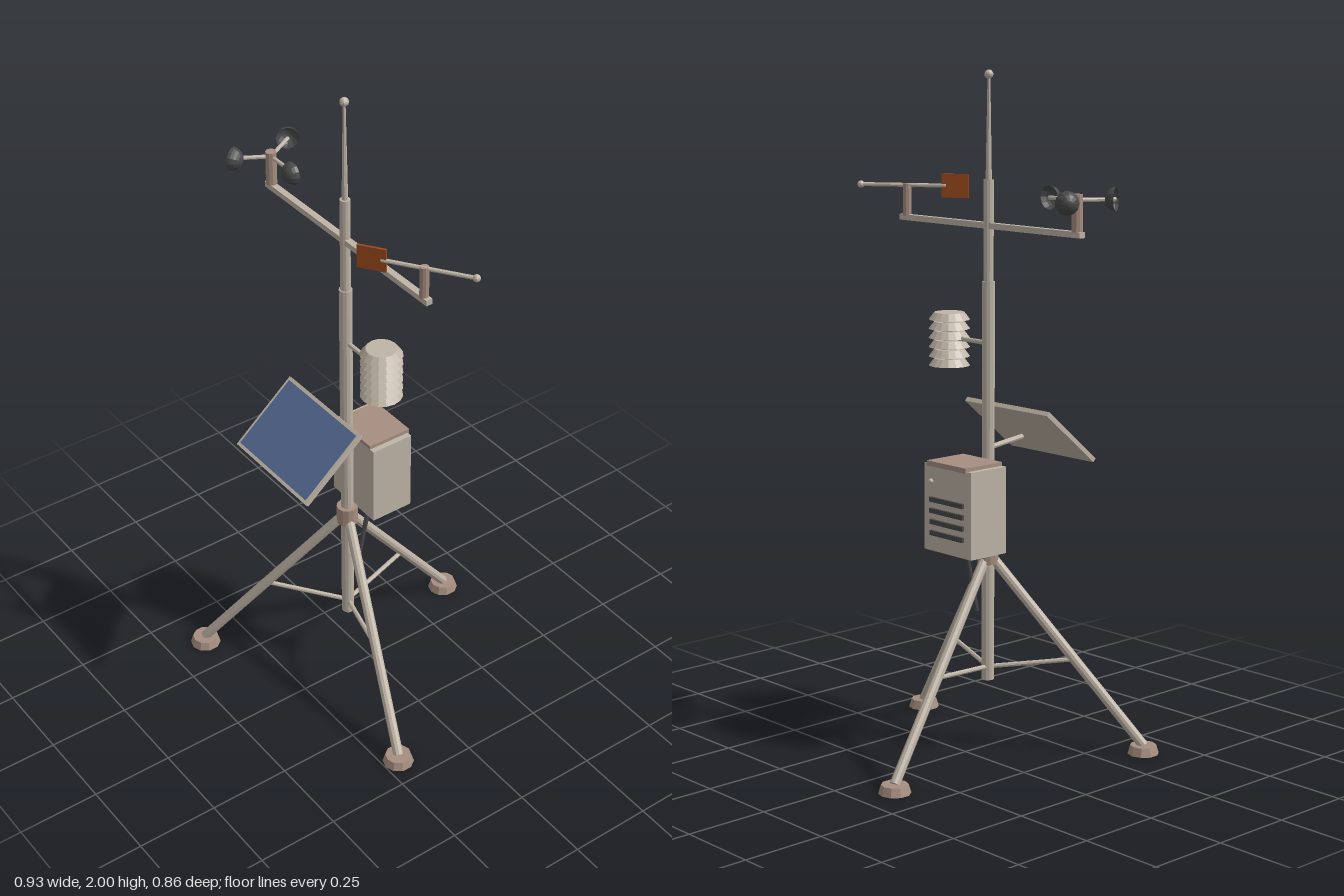
import * as THREE from 'three';

const mat = (name, color, side = THREE.FrontSide) =>
  new THREE.MeshStandardMaterial({ name, color, side, flatShading: true });

export function createModel() {
  const metal = mat('paleMetal', 0xbfb4a6);
  const brown = mat('brownFitting', 0xa68e80);
  const dark = mat('darkPlastic', 0x48484a, THREE.DoubleSide);
  const blue = mat('solarBlue', 0x526890);
  const rust = mat('vaneOrange', 0xa04c1e);

  const model = new THREE.Group();
  model.name = 'weatherStation';
  const MX = -0.025, MZ = 0.067; // mast axis
  const V = (x, y, z) => new THREE.Vector3(x, y, z);

  function add(name, geo, material, pos, parent = model) {
    const m = new THREE.Mesh(geo, material);
    m.name = name;
    if (pos) m.position.copy(pos);
    parent.add(m);
    return m;
  }
  // Tapered round bar between two points
  function rod(name, a, b, r0, r1, material, sides = 10, parent = model) {
    const d = b.clone().sub(a);
    const m = add(name, new THREE.CylinderGeometry(r1, r0, d.length(), sides), material,
      a.clone().add(b).multiplyScalar(0.5), parent);
    m.quaternion.setFromUnitVectors(V(0, 1, 0), d.normalize());
    return m;
  }
  const box = (name, w, h, d, material, pos, parent) =>
    add(name, new THREE.BoxGeometry(w, h, d), material, pos, parent);
  const ball = (name, r, material, pos, parent) =>
    add(name, new THREE.SphereGeometry(r, 10, 8), material, pos, parent);

  // Mast, collar and antenna
  rod('lowerMast', V(MX, 0.217, MZ), V(MX, 1.4, MZ), 0.019, 0.019, metal, 12);
  rod('upperMast', V(MX, 1.4, MZ), V(MX, 1.69, MZ), 0.015, 0.015, metal, 12);
  rod('antenna', V(MX, 1.69, MZ), V(MX, 1.985, MZ), 0.009, 0.004, metal, 8);
  ball('antennaTip', 0.013, metal, V(MX, 1.987, MZ));
  rod('collar', V(MX, 0.57, MZ), V(MX, 0.628, MZ), 0.032, 0.032, brown, 12);

  // Tripod legs, feet and braces
  for (const [fx, fz] of [[-0.128, -0.386], [0.415, 0.202], [-0.364, 0.38]]) {
    const foot = V(fx, 0.025, fz);
    const top = V(MX, 0.58, MZ).lerp(V(fx, 0.58, fz), 0.04);
    rod('leg', foot, top, 0.015, 0.015, metal);
    add('foot', new THREE.CylinderGeometry(0.039, 0.047, 0.026, 10), brown, V(fx, 0.013, fz));
    rod('brace', V(MX, 0.255, MZ), foot.clone().lerp(top, 0.465), 0.007, 0.007, metal, 8);
  }

  // Equipment cabinet with lid, vents, knob and cable
  const cx = -0.026;
  box('cabinet', 0.2, 0.255, 0.136, metal, V(cx, 0.749, -0.025));
  box('cabinetLid', 0.165, 0.015, 0.142, brown, V(cx, 0.88, -0.028));
  for (let i = 0; i < 4; i++)
    box('vent', 0.14, 0.014, 0.009, dark, V(cx, 0.676 + i * 0.033, -0.097));
  ball('doorKnob', 0.008, metal, V(0.042, 0.828, -0.097));
  rod('cable', V(-0.012, 0.625, -0.01), V(-0.01, 0.428, 0.036), 0.007, 0.007, dark, 8);

  // Solar panel tilted towards the front
  const panel = new THREE.Group();
  panel.name = 'solarPanel';
  panel.position.set(MX, 0.947, 0.235);
  panel.rotation.x = THREE.MathUtils.degToRad(40);
  model.add(panel);
  box('panelFrame', 0.348, 0.014, 0.25, metal, null, panel);
  box('panelGlass', 0.328, 0.004, 0.23, blue, V(0, 0.008, 0), panel);
  rod('panelArm', V(MX, 0.914, MZ), V(MX, 0.93, 0.203), 0.008, 0.008, metal, 8);

  // Louvred sensor shield
  const sx = 0.143;
  rod('shieldArm', V(MX, 1.221, MZ), V(sx, 1.221, MZ), 0.007, 0.007, metal, 8);
  rod('shieldCore', V(sx, 1.14, MZ), V(sx, 1.29, MZ), 0.03, 0.03, metal, 12);
  for (let i = 0; i < 6; i++)
    add('shieldPlate', new THREE.CylinderGeometry(0.045, 0.061, 0.021, 16), metal,
      V(sx, 1.148 + i * 0.0272, MZ));

  // Cross arm
  box('crossArm', 0.752, 0.017, 0.02, metal, V(-0.024, 1.56, MZ));

  // Cup anemometer
  const cups = new THREE.Group();
  cups.name = 'anemometer';
  cups.position.set(-0.38, 1.655, MZ);
  model.add(cups);
  rod('anemometerPost', V(0, -0.088, 0), V(0, 0.016, 0), 0.016, 0.016, brown, 10, cups);
  for (let i = 0; i < 3; i++) {
    const a = i * Math.PI * 2 / 3;
    const tip = V(Math.cos(a) * 0.11, 0, Math.sin(a) * 0.11);
    rod('cupRod', V(0, 0, 0), tip, 0.006, 0.006, metal, 8, cups);
    const cup = add('cup', new THREE.SphereGeometry(0.034, 12, 6, 0, Math.PI * 2, 0, Math.PI / 2),
      dark, tip, cups);
    cup.quaternion.setFromUnitVectors(V(0, 1, 0), V(Math.sin(a), 0, Math.cos(a)));
  }

  // Wind vane
  const vane = new THREE.Group();
  vane.name = 'windVane';
  vane.position.set(0.329, 1.655, MZ);
  vane.rotation.y = Math.atan2(0.185, 0.271);
  model.add(vane);
  rod('vanePost', V(0, -0.09, 0), V(0, 0.005, 0), 0.013, 0.013, brown, 10, vane);
  rod('vaneRod', V(-0.12, 0, 0), V(0.142, 0, 0), 0.006, 0.006, metal, 8, vane);
  ball('vaneTip', 0.011, metal, V(0.142, 0, 0), vane);
  box('vaneFin', 0.082, 0.07, 0.007, rust, V(-0.146, 0, 0), vane);

  return model;
}
